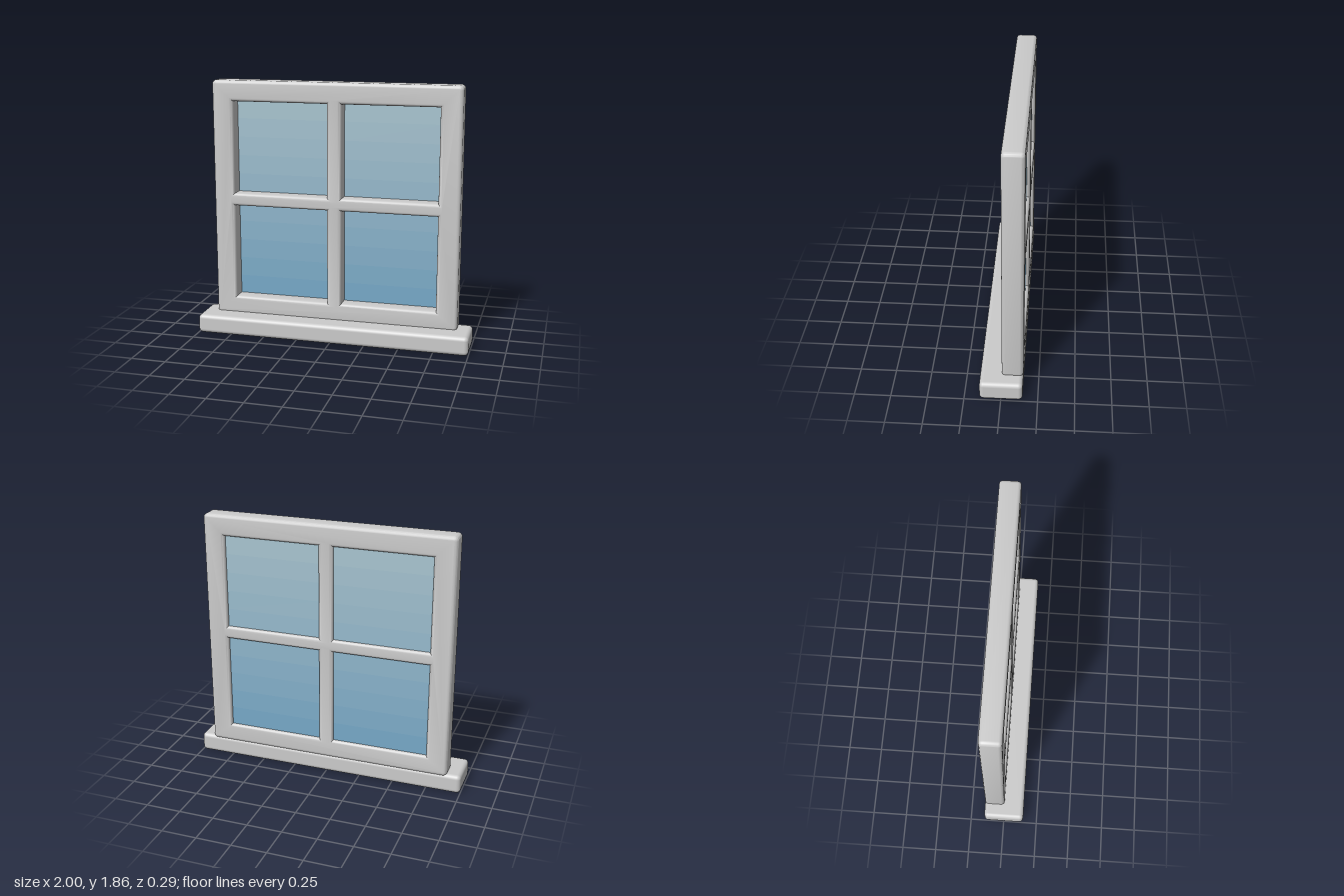
import * as THREE from 'three';
import { toCreasedNormals } from 'three/addons/utils/BufferGeometryUtils.js';
import { RoundedBoxGeometry } from 'three/addons/geometries/RoundedBoxGeometry.js';

const DEPTH = 0.147;   // thickness of the frame
const BEVEL = 0.025;   // rounding of all edges
const PANE_X = [[-0.745, -0.053], [0.053, 0.745]];
const PANE_Y = [[0.257, 0.948], [1.039, 1.709]];

// Outline of the frame, with a small arc at each corner
function roundedRect(x0, y0, x1, y1, r) {
  const s = new THREE.Shape();
  s.absarc(x1 - r, y0 + r, r, -Math.PI / 2, 0);
  s.absarc(x1 - r, y1 - r, r, 0, Math.PI / 2);
  s.absarc(x0 + r, y1 - r, r, Math.PI / 2, Math.PI);
  s.absarc(x0 + r, y0 + r, r, Math.PI, Math.PI * 1.5);
  s.closePath();
  return s;
}

function rectHole(x0, y0, x1, y1) {
  const h = new THREE.Path();
  h.moveTo(x0, y0);
  h.lineTo(x0, y1);
  h.lineTo(x1, y1);
  h.lineTo(x1, y0);
  h.closePath();
  return h;
}

export function createModel() {
  const model = new THREE.Group();
  model.name = 'window';
  const grey = new THREE.MeshStandardMaterial({ color: 0xcccccc });

  const add = (parent, name, geometry, material) => {
    const mesh = new THREE.Mesh(geometry, material);
    mesh.name = name;
    parent.add(mesh);
    return mesh;
  };

  // Frame and crossing glazing bars in one piece, with four openings
  const outline = roundedRect(-0.9, 0.12, 0.9, 1.86, 0.03);
  for (const [x0, x1] of PANE_X)
    for (const [y0, y1] of PANE_Y) outline.holes.push(rectHole(x0, y0, x1, y1));
  const frameGeometry = new THREE.ExtrudeGeometry(outline, {
    depth: DEPTH - 2 * BEVEL,
    bevelThickness: BEVEL,
    bevelSize: BEVEL,
    bevelOffset: -BEVEL,
    bevelSegments: 4,
    curveSegments: 4,
  });
  frameGeometry.translate(0, 0, BEVEL - DEPTH);
  add(model, 'frame', toCreasedNormals(frameGeometry, 0.65), grey);

  // Projecting sill
  const sill = add(model, 'sill', new RoundedBoxGeometry(2, 0.138, 2 * DEPTH, 4, 0.03), grey);
  sill.position.y = 0.069;

  // Glass set near the back, tinted deeper towards the bottom in bands
  const low = new THREE.Color(0x74a8c8), high = new THREE.Color(0xaac6d1);
  const bands = 5, lap = 0.005;
  for (const [row, [y0, y1]] of PANE_Y.entries()) {
    const h = (y1 - y0 + 2 * lap) / bands;
    for (let i = 0; i < bands; i++) {
      const y = y0 - lap + (i + 0.5) * h;
      const color = low.clone().lerp(high, (y - 0.257) / 1.452);
      const tint = new THREE.MeshStandardMaterial({ color });
      for (const [x0, x1] of PANE_X) {
        const geometry = new THREE.BoxGeometry(x1 - x0 + 2 * lap, h, 0.012);
        const name = `${row ? 'upper' : 'lower'}${x0 < 0 ? 'Right' : 'Left'}Glass`;
        add(model, name, geometry, tint).position.set((x0 + x1) / 2, y, -0.116);
      }
    }
  }
  return model;
}
